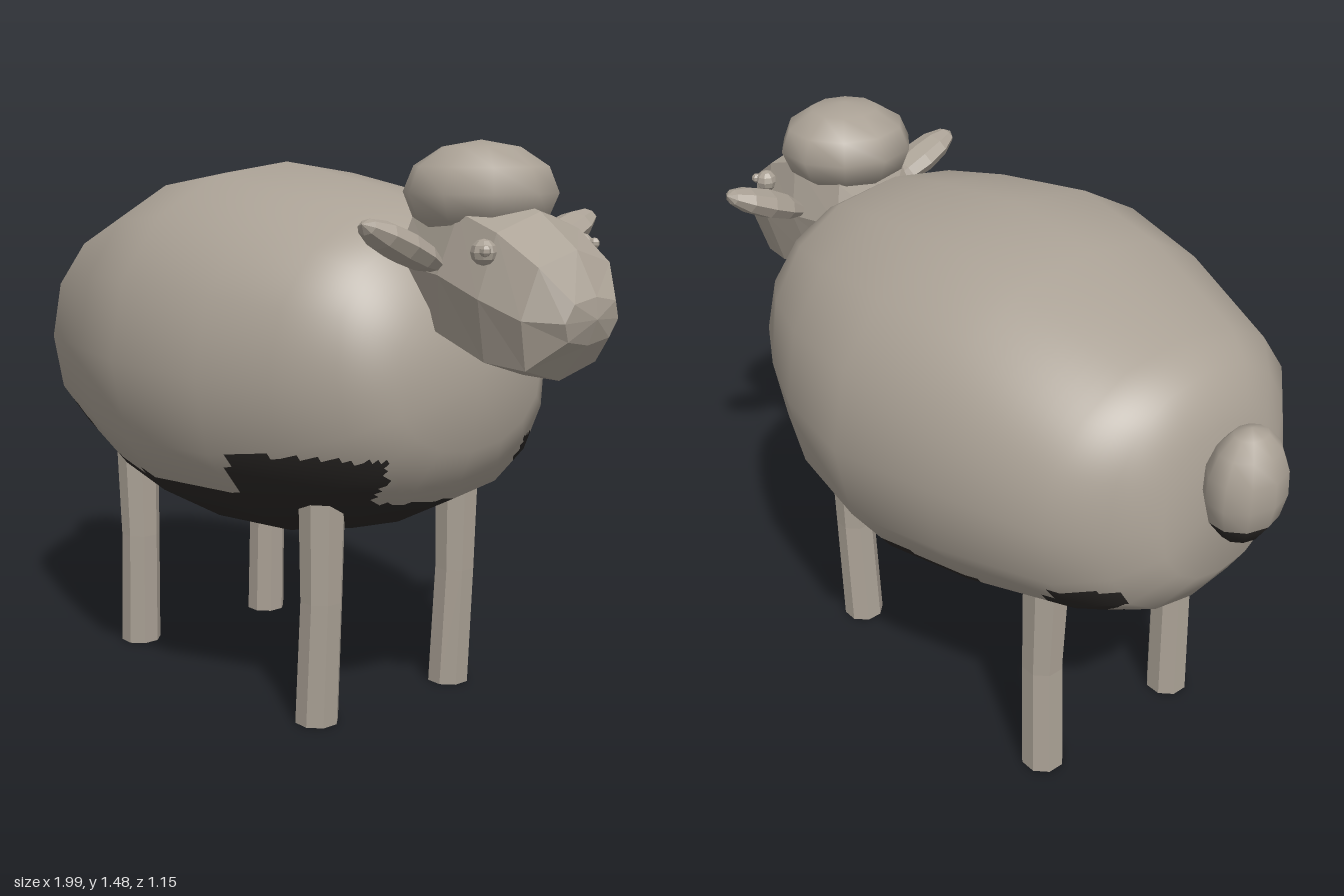
import * as THREE from 'three';

const fleece = new THREE.MeshStandardMaterial({ color: 0xaaa195 });
fleece.name = 'warm grey fleece';
const dark = new THREE.MeshStandardMaterial({ color: 0x2a2725 });
dark.name = 'dark underside';

// Ring = [x at top, x at bottom, y top, y bottom, half width in z]
function ringPoint([xt, xb, yt, yb, w], angle, power) {
  const bend = (v) => Math.sign(v) * Math.pow(Math.abs(v), 2 / power);
  const c = bend(Math.cos(angle)), s = bend(Math.sin(angle));
  const t = 0.5 + 0.5 * c;
  return [xb + (xt - xb) * t, yb + (yt - yb) * t, w * s];
}

// Closed skin through rings that run along +x; the end rings are points
function loft(rings, sides, power) {
  const pos = [], index = [];
  rings.forEach((r) => {
    for (let j = 0; j < sides; j++) pos.push(...ringPoint(r, (j / sides) * Math.PI * 2, power));
  });
  for (let i = 0; i < rings.length - 1; i++) {
    for (let j = 0; j < sides; j++) {
      const k = (j + 1) % sides;
      const a = i * sides + j, b = i * sides + k, c = b + sides, d = a + sides;
      index.push(a, b, c, a, c, d);
    }
  }
  const g = new THREE.BufferGeometry();
  g.setAttribute('position', new THREE.Float32BufferAttribute(pos, 3));
  g.setIndex(index);
  g.computeVertexNormals();
  return g;
}

function faceted(geometry) {
  const g = geometry.index ? geometry.toNonIndexed() : geometry;
  g.computeVertexNormals();
  return g;
}

// Splits each coarse quad finely so the belly patch gets a clean edge
function splitBody(coarse, rows, sides, n, isDark) {
  const P = coarse.attributes.position, N = coarse.attributes.normal;
  for (let j = 0; j < sides; j++) {
    N.setXYZ(j, -1, 0, 0);
    N.setXYZ((rows - 1) * sides + j, 1, 0, 0);
  }
  const pos = [], nor = [], light = [], shade = [];
  const corner = (attr, id) => new THREE.Vector3().fromBufferAttribute(attr, id);
  for (let i = 0; i < rows - 1; i++) {
    for (let j = 0; j < sides; j++) {
      const k = (j + 1) % sides;
      const ids = [i * sides + j, i * sides + k, (i + 1) * sides + j, (i + 1) * sides + k];
      const p = ids.map((id) => corner(P, id)), m = ids.map((id) => corner(N, id));
      const mix = (q, u, v) => q[0].clone().lerp(q[1], v).lerp(q[2].clone().lerp(q[3], v), u);
      const base = pos.length / 3;
      for (let u = 0; u <= n; u++) {
        for (let v = 0; v <= n; v++) {
          pos.push(...mix(p, u / n, v / n).toArray());
          nor.push(...mix(m, u / n, v / n).normalize().toArray());
        }
      }
      for (let u = 0; u < n; u++) {
        for (let v = 0; v < n; v++) {
          const a = base + u * (n + 1) + v, b = a + 1, d = a + n + 1, c = d + 1;
          const centre = mix(p, (u + 0.5) / n, (v + 0.5) / n);
          (isDark(centre) ? shade : light).push(a, b, c, a, c, d);
        }
      }
    }
  }
  const g = new THREE.BufferGeometry();
  g.setAttribute('position', new THREE.Float32BufferAttribute(pos, 3));
  g.setAttribute('normal', new THREE.Float32BufferAttribute(nor, 3));
  g.setIndex([...light, ...shade]);
  g.addGroup(0, light.length, 0);
  g.addGroup(light.length, shade.length, 1);
  return g;
}

export function createModel() {
  const model = new THREE.Group();
  const add = (name, geometry, material, x = 0, y = 0, z = 0) => {
    const mesh = new THREE.Mesh(geometry, material);
    mesh.name = name;
    mesh.position.set(x, y, z);
    model.add(mesh);
    return mesh;
  };

  // Fleecy body with a dark belly that climbs at the four corners
  const bodyRings = [
    [-0.85, -0.85, 0.92, 0.92, 0],
    [-0.83, -0.865, 1.12, 0.73, 0.2],
    [-0.77, -0.78, 1.23, 0.6, 0.3],
    [-0.68, -0.68, 1.275, 0.555, 0.41],
    [-0.38, -0.36, 1.385, 0.46, 0.505],
    [-0.1, -0.1, 1.42, 0.43, 0.575],
    [0.2, 0.18, 1.375, 0.445, 0.52],
    [0.4, 0.36, 1.33, 0.5, 0.445],
    [0.5, 0.56, 1.27, 0.6, 0.36],
    [0.61, 0.62, 1.12, 0.73, 0.25],
    [0.645, 0.645, 0.9, 0.9, 0],
  ];
  const isDark = ({ x, y, z }) => {
    if (y < 0.6) return true;
    const h = y - 0.6;
    const corner = x > 0.19 + h * 0.35 || x < -0.57 - h * 0.8;
    return y < 0.73 && corner && Math.abs(z) > 0.2 + h * 0.3;
  };
  const sides = 16;
  const body = splitBody(loft(bodyRings, sides, 2.2), bodyRings.length, sides, 8, isDark);
  add('body', body, [fleece, dark]);

  // Tail with a dark underside
  const split = 2.13;
  [['tail', 0, split, fleece], ['tailUnderside', split, Math.PI - split, dark]].forEach(
    ([name, start, length, material]) => {
      const g = new THREE.SphereGeometry(1, 10, name === 'tail' ? 5 : 2, 0, Math.PI * 2, start, length);
      add(name, g.scale(0.09, 0.15, 0.11), material, -0.91, 1.0, 0);
    });

  // Faceted head, tilted down towards the muzzle
  const headRings = [
    [0.45, 0.45, 1.17, 1.17, 0],
    [0.52, 0.46, 1.33, 1.05, 0.14],
    [0.7, 0.63, 1.36, 0.99, 0.172],
    [0.82, 0.78, 1.32, 0.94, 0.178],
    [0.93, 0.89, 1.24, 0.94, 0.155],
    [0.99, 0.97, 1.14, 1.03, 0.09],
    [0.995, 0.995, 1.09, 1.09, 0],
  ];
  add('head', faceted(loft(headRings, 8, 2.7)), fleece);

  // Tuft of wool on the crown
  add('crownWool', new THREE.SphereGeometry(1, 10, 6).scale(0.185, 0.122, 0.187), fleece, 0.63, 1.358, 0);

  for (const side of [1, -1]) {
    const label = side > 0 ? 'Front' : 'Back';

    // Ears, raised at the tips
    const earShape = new THREE.SphereGeometry(1, 8, 6).rotateX(Math.PI / 2).scale(0.062, 0.04, 0.13);
    const ear = add('ear' + label, faceted(earShape), fleece, 0.645, 1.245, side * 0.268);
    ear.rotation.x = -side * 0.42;

    // Small bulging eyes
    add('eye' + label, faceted(new THREE.SphereGeometry(0.03, 8, 6)), fleece, 0.803, 1.235, side * 0.165);
    add('pupil' + label, faceted(new THREE.SphereGeometry(0.014, 6, 5)), fleece, 0.826, 1.24, side * 0.184);

    // Slim eight-sided legs with a slight knee and dark soles
    for (const [name, x, knee, top] of [['foreleg', 0.315, 0.018, 0.02], ['hindLeg', -0.513, 0.01, 0.003]]) {
      const g = new THREE.CylinderGeometry(0.062, 0.058, 0.62, 8, 2).rotateY(Math.PI / 8);
      g.translate(0, 0.31, 0);
      const p = g.attributes.position;
      for (let i = 0; i < p.count; i++) {
        const y = p.getY(i);
        if (y > 0.5) p.setX(i, p.getX(i) + top);
        else if (y > 0.1) p.setXYZ(i, p.getX(i) * 0.93 + knee, 0.33, p.getZ(i) * 0.93);
      }
      add(name + label, faceted(g), [fleece, fleece, dark], x, 0, side * 0.238);
    }
  }
  return model;
}
